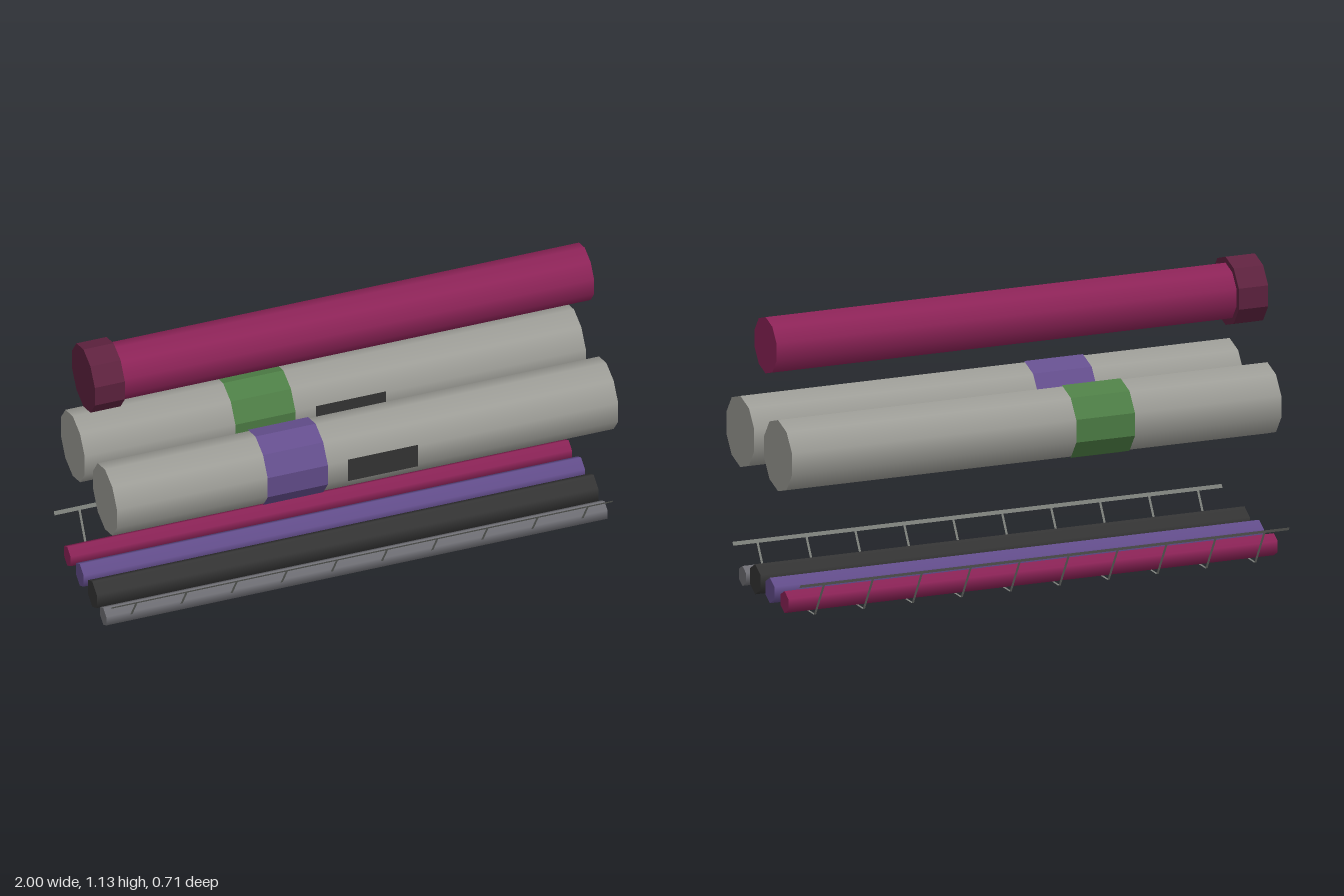
import * as THREE from 'three';

const mat = (name, color, side = THREE.FrontSide) => {
  const m = new THREE.MeshStandardMaterial({ color, side });
  m.name = name;
  return m;
};

export function createModel() {
  const grey = mat('pipeGrey', 0xa0a09a);
  const magenta = mat('magenta', 0x8f2459);
  const maroon = mat('maroon', 0x602340);
  const purple = mat('purple', 0x665090);
  const green = mat('green', 0x4f8047);
  const black = mat('black', 0x363636);
  const slate = mat('slate', 0x727278);
  const wire = mat('wireGrey', 0x7c7f7a, THREE.DoubleSide);

  const model = new THREE.Group();
  model.name = 'pipeRack';

  const add = (name, geometry, material, parent = model) => {
    const mesh = new THREE.Mesh(geometry, material);
    mesh.name = name;
    parent.add(mesh);
    return mesh;
  };

  // Prism along x from x0 to x1, with a corner pointing up
  const rod = (name, material, r, x0, x1, y, z, { sides = 10, open = false, flat = false } = {}) => {
    let g = new THREE.CylinderGeometry(r, r, x1 - x0, sides, 1, open, Math.PI / 2);
    g.rotateZ(Math.PI / 2);
    if (flat) {
      g = g.toNonIndexed();
      g.computeVertexNormals();
    }
    g.translate((x0 + x1) / 2, y, z);
    return add(name, g, material);
  };

  // Upper pipe with its end collar
  rod('upperPipe', magenta, 0.11, -0.95, 1, 1.003, -0.028);
  rod('upperPipeCollar', maroon, 0.133, -1, -0.88, 1.003, -0.028, { flat: true });

  // Two large pipes, each with a coloured band and a dark label plate
  [['front', 0.212, purple], ['back', -0.147, green]].forEach(([place, z, bandColor]) => {
    rod(place + 'Pipe', grey, 0.139, -1, 1, 0.603, z);
    rod(place + 'PipeBand', bandColor, 0.144, -0.4, -0.16, 0.603, z, { open: true, flat: true });
    const plate = new THREE.PlaneGeometry(0.28, 0.1);
    plate.translate(0.06, 0.605, z + 0.138);
    add(place + 'PipeLabel', plate, black);
  });

  // Six-sided cables lying in the tray: radius, y, z
  [
    ['slateCable', slate, 0.039, 0.044, 0.192],
    ['blackCable', black, 0.059, 0.063, 0.071],
    ['purpleCable', purple, 0.05, 0.056, -0.069],
    ['magentaCable', magenta, 0.043, 0.047, -0.208],
  ].forEach(([name, material, r, y, z]) => rod(name, material, r, -1, 1, y, z, { sides: 6 }));

  // Wire tray: flat strips that follow a trough-shaped section (z, y)
  const tray = new THREE.Group();
  tray.name = 'wireTray';
  model.add(tray);
  const section = [[0.288, 0.152], [0.195, 0.002], [-0.265, 0.002], [-0.358, 0.152]];

  const strip = (name, points, x, width) => {
    const positions = [], index = [];
    points.forEach(([z, y], i) => {
      positions.push(x - width / 2, y, z, x + width / 2, y, z);
      if (i) {
        const a = 2 * i - 2;
        index.push(a, a + 1, a + 2, a + 1, a + 3, a + 2);
      }
    });
    let g = new THREE.BufferGeometry();
    g.setAttribute('position', new THREE.Float32BufferAttribute(positions, 3));
    g.setIndex(index);
    g = g.toNonIndexed();
    g.computeVertexNormals();
    add(name, g, wire, tray);
  };

  // Bent cross wires, evenly spaced
  for (let i = 0; i < 10; i++) strip('trayCrossWire', section, -0.9 + 0.2 * i, 0.009);

  // Rails along both upper edges
  strip('trayFrontRail', [[0.288, 0.152], [0.279, 0.139]], 0, 2);
  strip('trayBackRail', [[-0.349, 0.139], [-0.358, 0.152]], 0, 2);

  return model;
}
